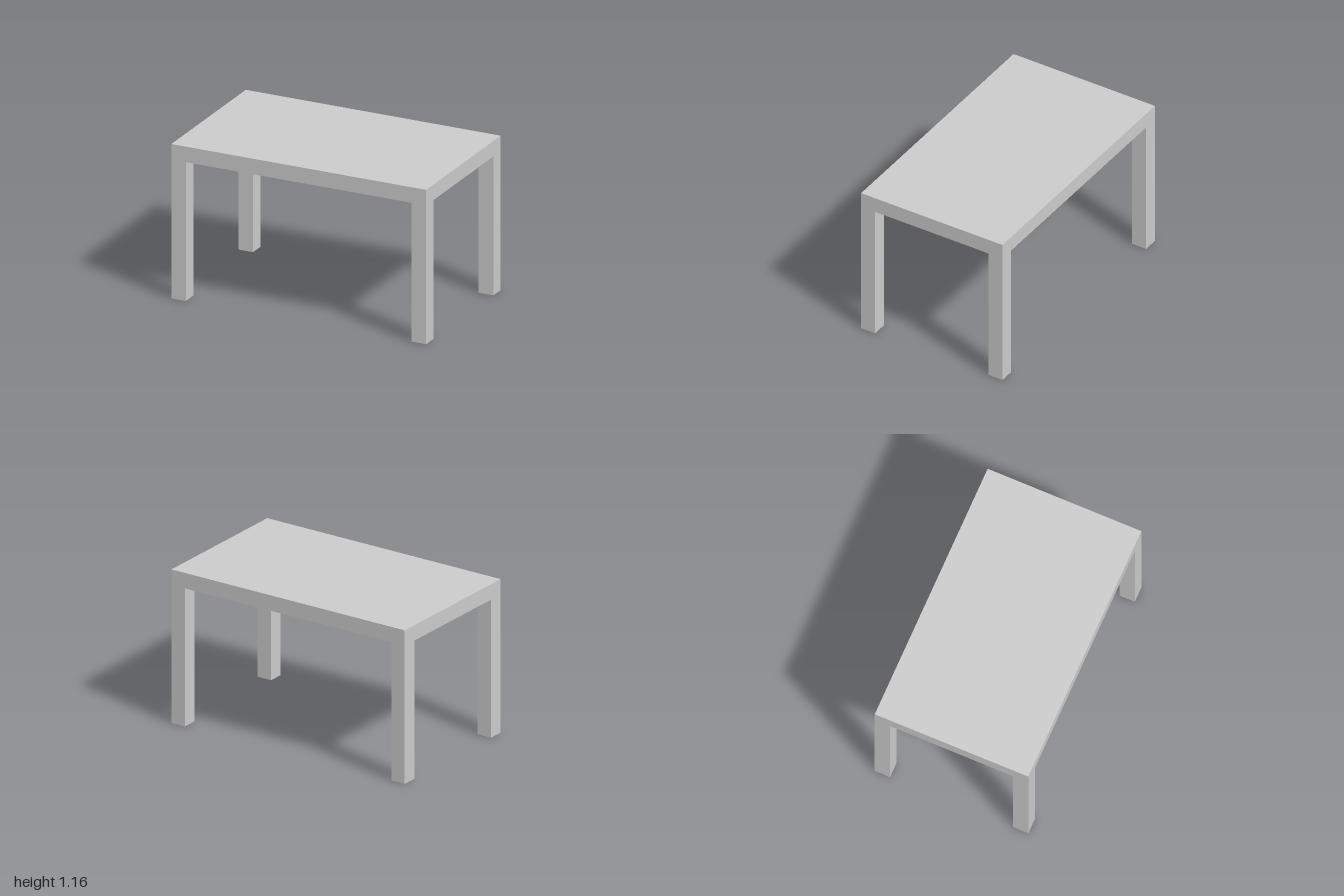
import * as THREE from 'three';

const WIDTH = 2, DEPTH = 1.176, HEIGHT = 1.163;
const TOP_THICKNESS = 0.117, LEG_X = 0.115, LEG_Z = 0.117;

export function createModel() {
  const table = new THREE.Group();
  table.name = 'table';
  const material = new THREE.MeshStandardMaterial({ color: 0xcccccc });

  const addBox = (name, w, h, d, x, y, z) => {
    const mesh = new THREE.Mesh(new THREE.BoxGeometry(w, h, d), material);
    mesh.name = name;
    mesh.position.set(x, y, z);
    table.add(mesh);
  };

  // Solid slab top
  addBox('tableTop', WIDTH, TOP_THICKNESS, DEPTH, 0, HEIGHT - TOP_THICKNESS / 2, 0);

  // Four square legs, flush with the corners of the top
  const legHeight = HEIGHT - TOP_THICKNESS;
  for (const [side, sx] of [['Left', 1], ['Right', -1]]) {
    for (const [end, sz] of [['front', 1], ['back', -1]]) {
      addBox(`${end}${side}Leg`, LEG_X, legHeight, LEG_Z,
        sx * (WIDTH - LEG_X) / 2, legHeight / 2, sz * (DEPTH - LEG_Z) / 2);
    }
  }

  return table;
}
